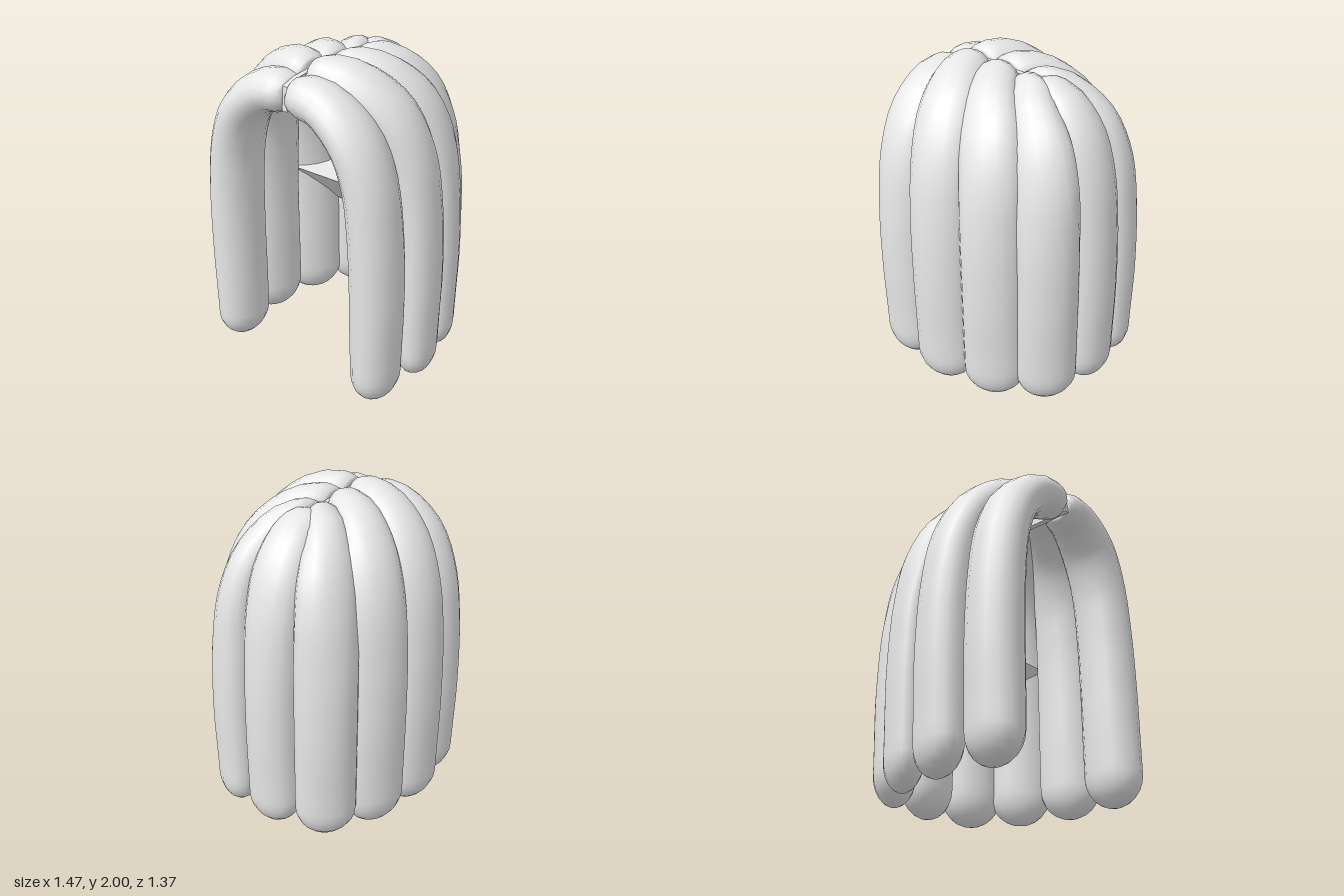
import * as THREE from 'three';

const SIDES = 16;
const GAP = 0.014; // half width of the centre parting

// Centre line of every lock: outward fraction and height fraction
const ARC = [[0, 0.985], [0.2, 1.004], [0.43, 0.993], [0.73, 0.912], [0.9, 0.785], [0.975, 0.61], [1, 0.42], [1, 0.2], [1, 0]];

// Builds a rounded lock from the parting (start) to its tip (end); m mirrors it
function lockGeometry({ start, end, top, wide, thick, centre }, m) {
  const [sx, sz] = start, [ex, ez] = end;
  const curve = new THREE.CatmullRomCurve3(ARC.map(([h, y]) => new THREE.Vector3(
    sx + (ex - sx) * h, top * y, sz + (ez - sz) * Math.pow(h, centre ? 1 : 1.35))), false, 'centripetal');
  const len = curve.getLength(), capA = 0.16 / len, capB = 0.19 / len;

  // Ring positions and sizes: round cap, body, round cap
  const rings = [];
  for (let i = 0; i < 7; i++) {
    const a = (i / 7) * Math.PI / 2;
    rings.push([capA * (1 - Math.cos(a)), Math.sin(a)]);
  }
  for (let i = 0; i <= 24; i++) rings.push([capA + (1 - capA - capB) * i / 24, 1]);
  for (let i = 1; i <= 6; i++) {
    const a = (i / 6) * Math.PI / 2;
    rings.push([1 - capB * (1 - Math.sin(a)), Math.cos(a)]);
  }

  const { lerp, smoothstep } = THREE.MathUtils;
  const outward = new THREE.Vector3(ex - sx, 0, ez - sz).normalize();
  const first = centre ? outward : new THREE.Vector3(1, 0, 0);
  const pos = [], index = [];
  rings.forEach(([u, s], r) => {
    const p = curve.getPointAt(Math.min(u, 1)), t = curve.getTangentAt(Math.min(u, 1));
    const dir = first.clone().lerp(outward, Math.min(1, u * 2)).normalize();
    const side = new THREE.Vector3(-dir.z, 0, dir.x);
    const normal = new THREE.Vector3().crossVectors(side, t).normalize();
    const w = s * wide * lerp(0.75, 1, smoothstep(u, 0, 0.25));
    const d = s * lerp(0.122, thick, smoothstep(u, 0, 0.6)) * (1 - 0.08 * smoothstep(u, 0.7, 0.95));
    for (let k = 0; k < SIDES; k++) {
      const a = (k / SIDES) * Math.PI * 2;
      const v = p.clone().addScaledVector(side, Math.cos(a) * w).addScaledVector(normal, Math.sin(a) * d);
      if (!centre) v.x = Math.max(v.x, GAP);
      pos.push(v.x * m, Math.max(v.y, 0), v.z);
      if (r === 0) continue;
      const k2 = (k + 1) % SIDES, A = (r - 1) * SIDES + k, B = (r - 1) * SIDES + k2, C = A + SIDES, D = B + SIDES;
      if (m > 0) index.push(A, C, B, B, C, D);
      else index.push(A, B, C, B, D, C);
    }
  });
  const g = new THREE.BufferGeometry();
  g.setAttribute('position', new THREE.Float32BufferAttribute(pos, 3));
  g.setIndex(index);
  g.computeVertexNormals();
  return g;
}

// Half-round wedge inside: nearly flat top, underside sloping down to the back
function wedgeGeometry() {
  const N = 20, pos = [], R = 0.57;
  const top = (a) => [R * Math.cos(a), 1.02 + 0.04 * Math.sin(a), -0.02 - 0.5 * Math.sin(a)];
  const low = (a) => [R * Math.cos(a), 1.02 - 0.38 * Math.sin(a), -0.02 - 0.36 * Math.sin(a)];
  for (let i = 0; i < N; i++) {
    const a = (i / N) * Math.PI, b = ((i + 1) / N) * Math.PI;
    pos.push(0, 1.02, -0.02, ...top(a), ...top(b));
    pos.push(0, 1.02, -0.02, ...low(b), ...low(a));
    pos.push(...top(a), ...low(a), ...low(b), ...top(a), ...low(b), ...top(b));
  }
  const g = new THREE.BufferGeometry();
  g.setAttribute('position', new THREE.Float32BufferAttribute(pos, 3));
  g.computeVertexNormals();
  return g;
}

export function createModel() {
  const group = new THREE.Group();
  const grey = new THREE.MeshStandardMaterial({ color: 0xe7e7e7 });
  grey.name = 'light grey';

  const add = (name, geometry) => {
    const mesh = new THREE.Mesh(geometry, grey);
    mesh.name = name;
    group.add(mesh);
  };

  // Four mirrored pairs of locks, front to back
  const locks = {
    FrontLock: { start: [-0.04, 0.525], end: [0.54, 0.485], top: 1.805, wide: 0.182, thick: 0.15 },
    FrontSideLock: { start: [-0.04, 0.36], end: [0.587, 0.13], top: 1.87, wide: 0.19, thick: 0.14 },
    BackSideLock: { start: [-0.04, 0.16], end: [0.515, -0.21], top: 1.855, wide: 0.19, thick: 0.125 },
    RearLock: { start: [-0.04, -0.05], end: [0.335, -0.475], top: 1.83, wide: 0.188, thick: 0.14 },
  };
  for (const [name, spec] of Object.entries(locks)) {
    add('left' + name, lockGeometry(spec, 1));
    add('right' + name, lockGeometry(spec, -1));
  }

  // Single lock at the centre back
  add('centreBackLock', lockGeometry({ start: [0, -0.08], end: [0, -0.54], top: 1.815, wide: 0.176, thick: 0.15, centre: true }, 1));

  // Thin strip filling the parting
  const profile = new THREE.Shape([[-0.61, 1.74], [-0.6, 1.88], [-0.5, 1.91], [-0.3, 1.93], [0, 1.91], [0.13, 1.88], [0.13, 1.74]]
    .map(([x, y]) => new THREE.Vector2(x, y)));
  const strip = new THREE.ExtrudeGeometry(profile, { depth: 0.034, bevelEnabled: false });
  strip.translate(0, 0, -0.017).rotateY(Math.PI / 2);
  add('partingStrip', strip);

  add('innerWedge', wedgeGeometry());
  return group;
}
